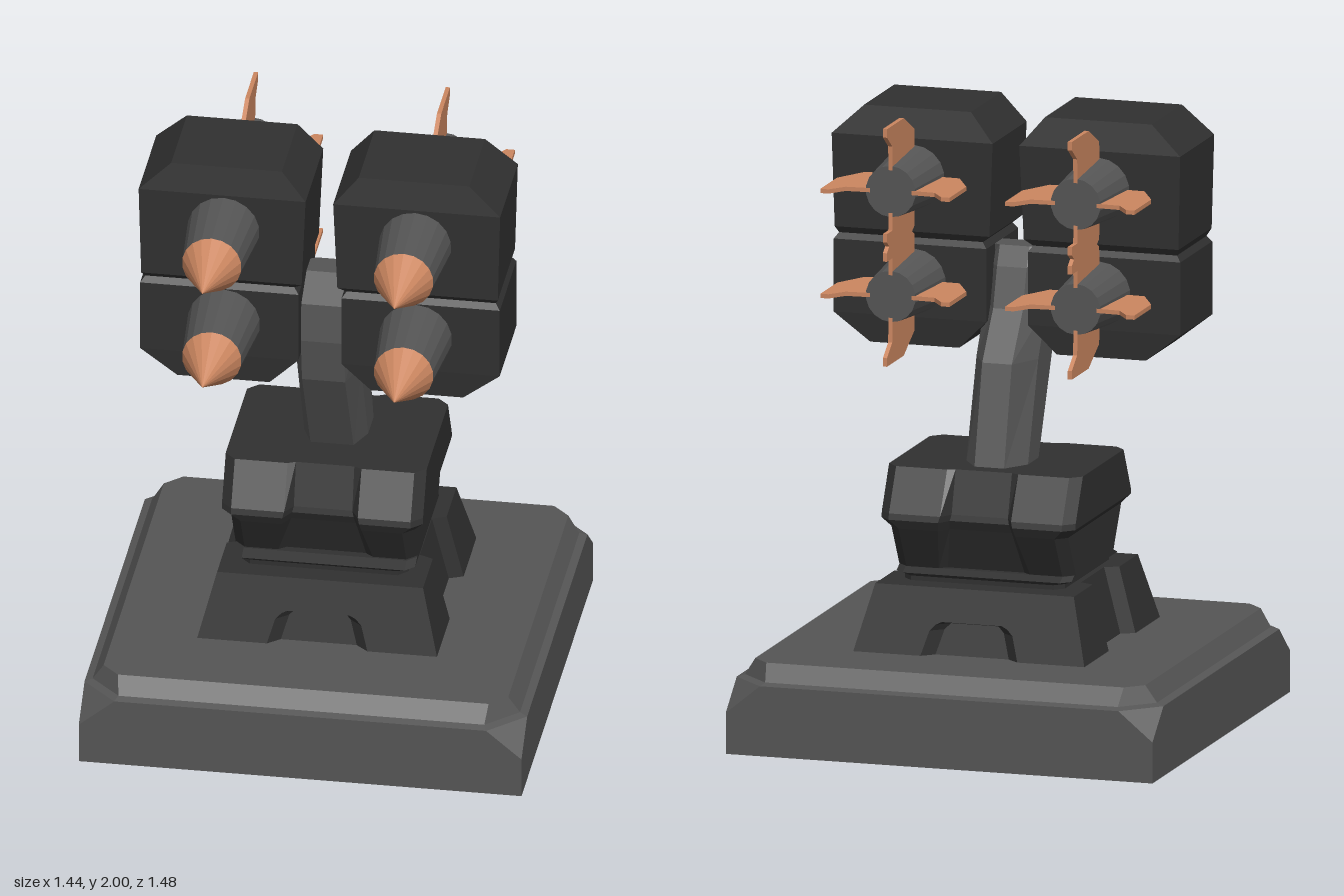
import * as THREE from 'three';

const material = (name, color) => Object.assign(new THREE.MeshStandardMaterial({ color }), { name });

// Flat-faced solid through rings of [x, z] outlines stacked in y.
// Outlines run along the front towards +x, then along the side towards -z.
function loft(rings) {
  const pos = [];
  const put = (ring, i) => pos.push(ring.pts[i][0], ring.y, ring.pts[i][1]);
  const n = rings[0].pts.length;
  for (let r = 0; r < rings.length - 1; r++) {
    const lo = rings[r], hi = rings[r + 1];
    for (let i = 0; i < n; i++) {
      const j = (i + 1) % n;
      put(lo, i); put(lo, j); put(hi, j);
      put(lo, i); put(hi, j); put(hi, i);
    }
  }
  const cap = (ring, flip) => {
    const contour = ring.pts.map(([x, z]) => new THREE.Vector2(x, -z));
    for (const [a, b, c] of THREE.ShapeUtils.triangulateShape(contour, [])) {
      put(ring, a); put(ring, flip ? c : b); put(ring, flip ? b : c);
    }
  };
  cap(rings[0], true);
  cap(rings[rings.length - 1], false);
  const geo = new THREE.BufferGeometry();
  geo.setAttribute('position', new THREE.Float32BufferAttribute(pos, 3));
  geo.computeVertexNormals();
  return geo;
}

const faceted = (geo) => {
  const flat = geo.toNonIndexed();
  flat.computeVertexNormals();
  return flat;
};

// Outline helpers: x0..x1 across, k (back) .. f (front)
const rect = (x0, x1, k, f) => [[x0, f], [x1, f], [x1, k], [x0, k]];
const cutRect = (a, k, f, cx, cz = cx) => [
  [-a + cx, f], [a - cx, f], [a, f - cz], [a, k + cz],
  [a - cx, k], [-a + cx, k], [-a, k + cz], [-a, f - cz],
];

export function createModel() {
  const dark = material('blackMetal', 0x303030);
  const grey = material('greyMetal', 0x555555);
  const copper = material('copper', 0xcb8660);

  const model = new THREE.Group();
  model.name = 'missileTurret';
  const add = (parent, name, geo, mat) => {
    const mesh = new THREE.Mesh(geo, mat);
    mesh.name = name;
    parent.add(mesh);
    return mesh;
  };

  // Base slab with cut corners and bevelled rim
  const slab = [
    [0, 0.72, 0.0005], [0.135, 0.72, 0.0005], [0.23, 0.72, 0.115],
    [0.238, 0.695, 0.1], [0.295, 0.658, 0.055],
  ].map(([y, a, c]) => ({ y, pts: cutRect(a, -a - 0.02, a - 0.02, c) }));
  add(model, 'baseSlab', loft(slab), grey);

  // Pedestal: sloped block, arch recess front and back, upright groove each side
  const pedestal = [
    [0.29, 0.165, 0.035], [0.375, 0.14, 0.035], [0.395, 0.12, 0.035],
    [0.402, 0.105, 0.03], [0.404, 0.1, 0], [0.51, 0.1, 0],
  ].map(([y, w, d]) => {
    const t = (y - 0.295) / 0.215;
    const a = 0.39 - 0.055 * t, b = 0.395 - 0.06 * t, g = 0.14, s = 0.045;
    const v = w - (d > 0 ? 0.04 : 0);
    const half = [
      [-a, b], [-w, b], [-v, b - d], [v, b - d], [w, b],
      [a, b], [a, g], [a - s, g - 0.02], [a - s, -g + 0.02], [a, -g],
    ];
    const pts = [...half, ...half.map(([x, z]) => [-x, -z])];
    return { y, pts: pts.map(([x, z]) => [x, z - 0.035]) };
  });
  add(model, 'pedestal', loft(pedestal), dark);

  // Neck between pedestal and head
  const neck = [
    [0.5, 0.27, -0.29, 0.23], [0.525, 0.27, -0.29, 0.23],
    [0.535, 0.295, -0.3, 0.24], [0.55, 0.295, -0.27, 0.2],
  ].map(([y, a, k, f]) => ({ y, pts: cutRect(a, k, f, 0.03) }));
  add(model, 'neck', loft(neck), dark);

  // Head: widest at mid height, with a recess between the corner clamps
  const head = [
    [0.545, 0.298, -0.265, 0.19, 0.155, 0.02], [0.69, 0.298, -0.35, 0.275, 0.13, 0.045],
    [0.72, 0.327, -0.365, 0.29, 0.125, 0.045], [0.74, 0.327, -0.36, 0.285, 0.12, 0.045],
    [0.88, 0.327, -0.285, 0.21, 0.12, 0.012],
  ].map(([y, a, k, f, c, d]) => {
    const e = 0.035, v = c - 0.025;
    return { y, pts: [
      [-a + e, f], [-c, f], [-v, f - d], [v, f - d], [c, f], [a - e, f], [a, f - e],
      [a, k + e], [a - e, k], [c, k], [v, k + d], [-v, k + d], [-c, k], [-a + e, k],
      [-a, k + e], [-a, f - e],
    ] };
  });
  add(model, 'head', loft(head), dark);

  // Bent arm with chamfered edges
  const arm = [
    [0.87, -0.218, 0.055], [1.205, -0.135, 0.23], [1.36, -0.02, 0.255],
    [1.49, 0.02, 0.245], [1.555, 0.05, 0.14],
  ].map(([y, k, f]) => {
    const c = 0.3 * (f - k);
    return { y, pts: [
      [-0.07, f], [0.07, f], [0.104, f - c], [0.104, k + c],
      [0.05, k], [-0.05, k], [-0.104, k + c], [-0.104, f - c],
    ] };
  });
  add(model, 'arm', loft(arm), grey);

  // Launcher pod profile: y, inner x, outer x, back z, front z
  const podRows = [
    [1.222, 0.165, 0.465, -0.02, 0.297], [1.315, 0.07, 0.585, -0.03, 0.305],
    [1.555, 0.07, 0.585, -0.03, 0.303], [1.575, 0.085, 0.57, -0.02, 0.29],
    [1.597, 0.058, 0.58, -0.035, 0.312], [1.905, 0.045, 0.588, -0.042, 0.314],
    [2.0, 0.125, 0.485, -0.02, 0.295],
  ];

  // Missile parts, pointing along +z
  const along = (rFront, rBack, z0, z1) => faceted(
    new THREE.CylinderGeometry(rFront, rBack, z1 - z0, 18)
      .rotateX(Math.PI / 2).translate(0, 0, (z0 + z1) / 2));
  const bodyGeo = along(0.096, 0.12, 0.28, 0.55);
  const tailGeo = along(0.106, 0.084, -0.28, -0.02);
  const tipGeo = faceted(new THREE.ConeGeometry(0.097, 0.192, 18)
    .rotateX(Math.PI / 2).translate(0, 0, 0.645));
  const finShape = new THREE.Shape([
    [0.07, -0.05], [0.16, -0.055], [0.218, -0.165], [0.218, -0.34],
    [0.19, -0.34], [0.15, -0.285], [0.07, -0.28],
  ].map(([r, z]) => new THREE.Vector2(r, -z)));
  const finGeo = new THREE.ExtrudeGeometry(finShape, { depth: 0.014, bevelEnabled: false })
    .translate(0, 0, -0.007).rotateX(-Math.PI / 2);

  for (const side of [-1, 1]) {
    const launcher = new THREE.Group();
    launcher.name = side > 0 ? 'leftLauncher' : 'rightLauncher';
    model.add(launcher);
    const rings = podRows.map(([y, xi, xo, k, f]) => ({
      y, pts: side > 0 ? rect(xi, xo, k, f) : rect(-xo, -xi, k, f),
    }));
    add(launcher, 'pod', loft(rings), dark);

    for (const y of [1.78, 1.435]) {
      const missile = new THREE.Group();
      missile.name = y > 1.6 ? 'upperMissile' : 'lowerMissile';
      missile.position.set(side * 0.312, y, 0);
      launcher.add(missile);
      add(missile, 'missileBody', bodyGeo, grey);
      add(missile, 'missileTail', tailGeo, grey);
      add(missile, 'missileTip', tipGeo, copper);
      for (let i = 0; i < 4; i++) {
        add(missile, 'fin', finGeo, copper).rotation.z = i * Math.PI / 2;
      }
    }
  }
  return model;
}
